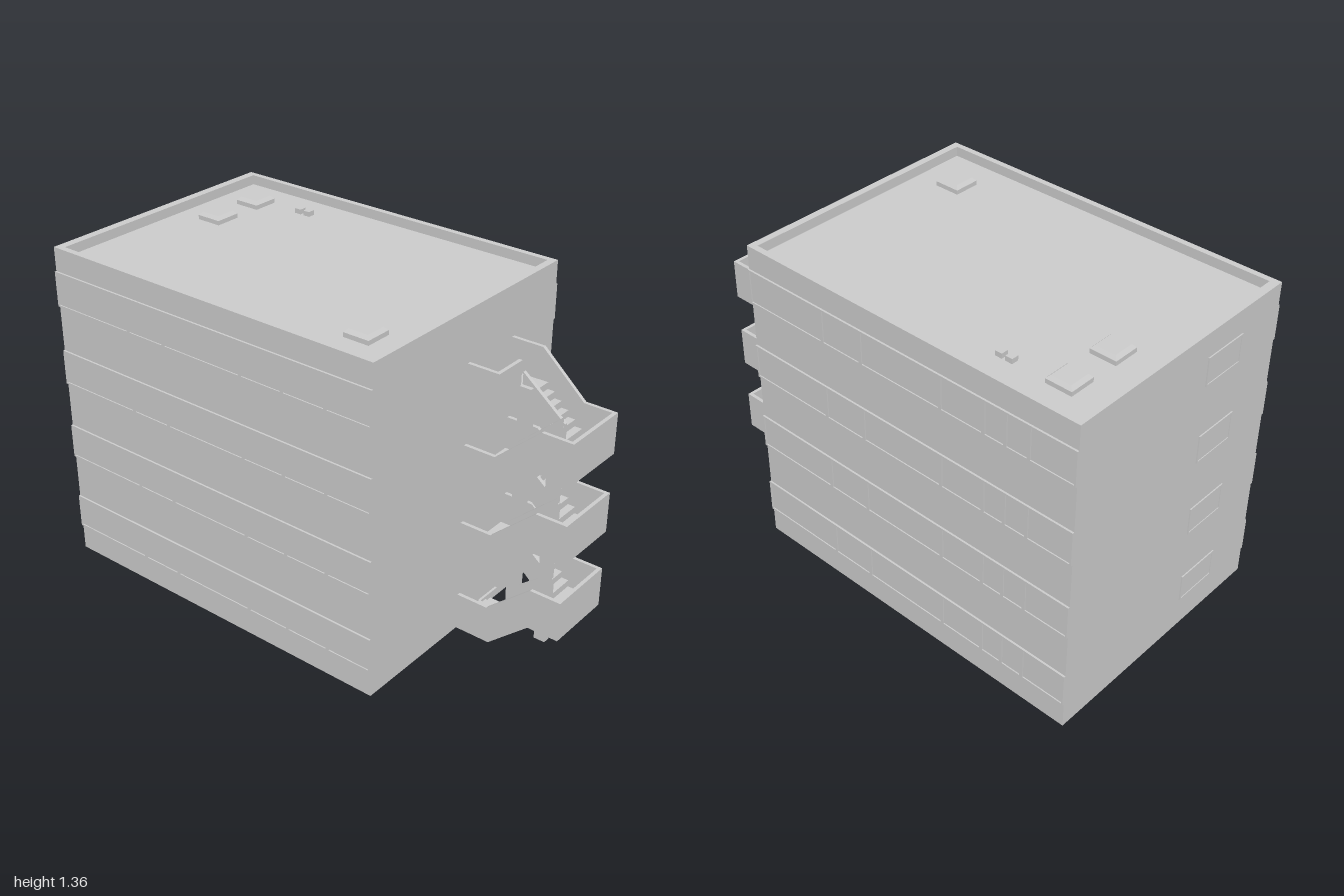
import * as THREE from 'three';

const material = new THREE.MeshStandardMaterial({ color: 0xcccccc, flatShading: true });

function add(parent, name, geometry) {
  const mesh = new THREE.Mesh(geometry, material);
  mesh.name = name;
  parent.add(mesh);
  return mesh;
}

// Box given by its limits on each axis
function box(parent, name, x0, x1, y0, y1, z0, z1) {
  const mesh = add(parent, name, new THREE.BoxGeometry(x1 - x0, y1 - y0, z1 - z0));
  mesh.position.set((x0 + x1) / 2, (y0 + y1) / 2, (z0 + z1) / 2);
  return mesh;
}

const rect = (x0, x1, y0, y1) => [[x0, y0], [x1, y0], [x1, y1], [x0, y1]];
const toPoints = (pts) => pts.map(([x, y]) => new THREE.Vector2(x, y));

// Outline with optional holes, extruded along +z
function plate(outline, depth, holes = []) {
  const shape = new THREE.Shape(toPoints(outline));
  holes.forEach((h) => shape.holes.push(new THREE.Path(toPoints(h))));
  return new THREE.ExtrudeGeometry(shape, { depth, bevelEnabled: false });
}

// Window: thin pane with a raised frame, facing +z in its own space
function windowUnit(parent, name, x0, x1, y0, y1, depth) {
  const t = 0.007;
  const unit = new THREE.Group();
  unit.name = name;
  box(unit, 'pane', x0, x1, y0, y1, -0.002, depth * 0.4);
  add(unit, 'frame', plate(rect(x0, x1, y0, y1), depth, [rect(x0 + t, x1 - t, y0 + t, y1 - t)]));
  parent.add(unit);
  return unit;
}

const STOREY = 0.334;
const LEFT = -0.995, RIGHT = 0.55, HALF = 0.55, ROOF = 1.32, TOP = 1.36;

function buildBlock(root) {
  const block = new THREE.Group();
  block.name = 'building';
  root.add(block);
  box(block, 'body', LEFT, RIGHT - 0.01, 0, ROOF, -HALF, HALF);

  // Right wall skin with recessed doorways onto the stair landings
  const doors = [0.035, 0.335, 0.67, 1.0].map((y) => rect(0.135, 0.265, y, y + 0.26));
  const skin = add(block, 'stairWall', plate(rect(-HALF, HALF, 0, ROOF), 0.01, doors));
  skin.rotation.y = Math.PI / 2;
  skin.position.x = RIGHT - 0.01;

  // Roof parapet
  const parapet = add(block, 'roofParapet', plate(
    rect(LEFT, RIGHT, -HALF, HALF), TOP - ROOF, [rect(-0.96, 0.52, -0.525, 0.525)]));
  parapet.rotation.x = -Math.PI / 2;
  parapet.position.y = ROOF;

  // Window bands on front, back and left, one per storey
  const frontEdges = [LEFT, -0.605, -0.42, -0.04, 0.155, 0.35, RIGHT];
  const backEdges = [-RIGHT, -0.165, 0.03, 0.41, 0.605, 0.7, 0.8, -LEFT];
  for (let i = 0; i < 4; i++) {
    const y0 = 0.112 + i * 0.335, y1 = y0 + 0.145;
    [[frontEdges, 'frontWindows', 0], [backEdges, 'backWindows', Math.PI]].forEach(([edges, name, turn]) => {
      const band = new THREE.Group();
      band.name = name;
      for (let k = 0; k + 1 < edges.length; k++) {
        windowUnit(band, 'window', edges[k], edges[k + 1], y0, y1, 0.008);
      }
      band.rotation.y = turn;
      band.position.z = turn ? -HALF : HALF;
      block.add(band);
    });
    const side = windowUnit(block, 'leftWindow', 0.13, 0.33, y0 + 0.02, y1 - 0.005, 0.005);
    side.rotation.y = -Math.PI / 2;
    side.position.x = LEFT;
  }

  // Skylights: curb with a tapered cap
  [[-0.795, -0.36], [-0.795, -0.135], [0.355, 0.345]].forEach(([x, z]) => {
    box(block, 'skylightCurb', x - 0.055, x + 0.055, ROOF, ROOF + 0.018, z - 0.055, z + 0.055);
    const cap = new THREE.CylinderGeometry(0.042 * Math.SQRT2, 0.055 * Math.SQRT2, 0.014, 4);
    cap.rotateY(Math.PI / 4);
    add(block, 'skylightCap', cap).position.set(x, ROOF + 0.025, z);
  });
  [-0.582, -0.537].forEach((x) =>
    box(block, 'roofVent', x - 0.015, x + 0.015, ROOF, ROOF + 0.02, -0.41, -0.38));
}

function buildStairs(root) {
  const stairs = new THREE.Group();
  stairs.name = 'outsideStairs';
  root.add(stairs);
  const X0 = RIGHT, XA = 0.685, XB = 0.87, X1 = 1, ZF = 0.015, ZB = -0.28;
  const T = 0.015, H = 0.168, RISE = STOREY / 2, STEPS = 6;

  const panel = (name, pts, z) => { add(stairs, name, plate(pts, T)).position.z = z; };

  // Stepped flight; climbs from (xs, y) to (xe, y + RISE)
  function flight(name, xs, xe, y, z0, z1) {
    const run = (xe - xs) / STEPS, rise = RISE / STEPS;
    for (let k = 0; k < STEPS; k++) {
      const a = xs + k * run, b = a + run * 1.25;
      const top = y + (k + 1) * rise;
      box(stairs, name, Math.min(a, b), Math.max(a, b), Math.max(0, top - rise - 0.008), top, z0, z1);
    }
  }

  for (let i = 0; i < 3; i++) {
    const lo = i * STOREY - (i ? 0.018 : 0), mid = 0.15 + i * 0.333, hi = (i + 1) * STOREY - 0.02;
    // Front balustrade: inner landing, rising flight, outer landing
    const foot = i ? [[X0, lo], [XA, lo]] : [[X0, 0], [0.70, 0]];
    panel('frontBalustrade', [...foot, [XB, mid], [X1, mid], [X1, mid + H],
      [XB, mid + H], [XA, lo + H - (i ? 0 : 0.012)], [X0, lo + H - (i ? 0 : 0.012)]], ZF - T);
    // Back balustrade: outer landing, rising flight, upper inner landing
    panel('backBalustrade', [[X0, hi], [XA, hi], [XB, mid], [X1, mid], [X1, mid + H],
      [XB, mid + H], [XA, hi + H], [X0, hi + H]], ZB);
    // Inner balustrades along the stairwell
    panel('innerBalustrade', [[XA + (i ? 0 : 0.015), lo], [XB, mid], [XB, mid + H],
      [XA, lo + H]], -0.13);
    panel('innerBalustrade', [[XB, mid], [XB, mid + H * 0.8], [XA, hi + H * 0.7], [XA, hi]], -0.155);
    // Outer landing
    box(stairs, 'outerBalustrade', X1 - T, X1, mid, mid + H, ZB + T, ZF - T);
    box(stairs, 'outerLanding', XB, X1 - T, mid + 0.012, mid + 0.035, ZB + T, ZF - T);
    // Upper inner landing
    box(stairs, 'innerLanding', X0, XA, hi + 0.012, hi + 0.035, ZB + T, ZF - T);
    flight('frontStep', XA, XB, lo + 0.03, -0.115, ZF - T);
    flight('backStep', XB, XA, mid + 0.035, ZB + T, -0.155);
  }

  // Closed top landing
  const top = 3 * STOREY - 0.02;
  box(stairs, 'topBalustrade', X0, XA, top, top + H, ZF - T, ZF);
  box(stairs, 'topEndBalustrade', XA - T, XA, top, top + H, -0.13, ZF - T);

  // Posts in the stairwell
  box(stairs, 'innerPost', 0.682, 0.733, 0, 1.05, -0.152, -0.122);
  box(stairs, 'outerPost', 0.82, 0.868, 0, 0.94, -0.152, -0.122);

  // Entrance landing with steps down to the back
  box(stairs, 'entranceLanding', X0, XA, 0, 0.035, -0.15, ZF - T);
  [0.023, 0.011].forEach((h, k) =>
    box(stairs, 'entranceStep', X0, XA, 0, h, -0.185 - k * 0.035, -0.15 - k * 0.035));
}

export function createModel() {
  const model = new THREE.Group();
  model.name = 'officeBlock';
  buildBlock(model);
  buildStairs(model);
  return model;
}
